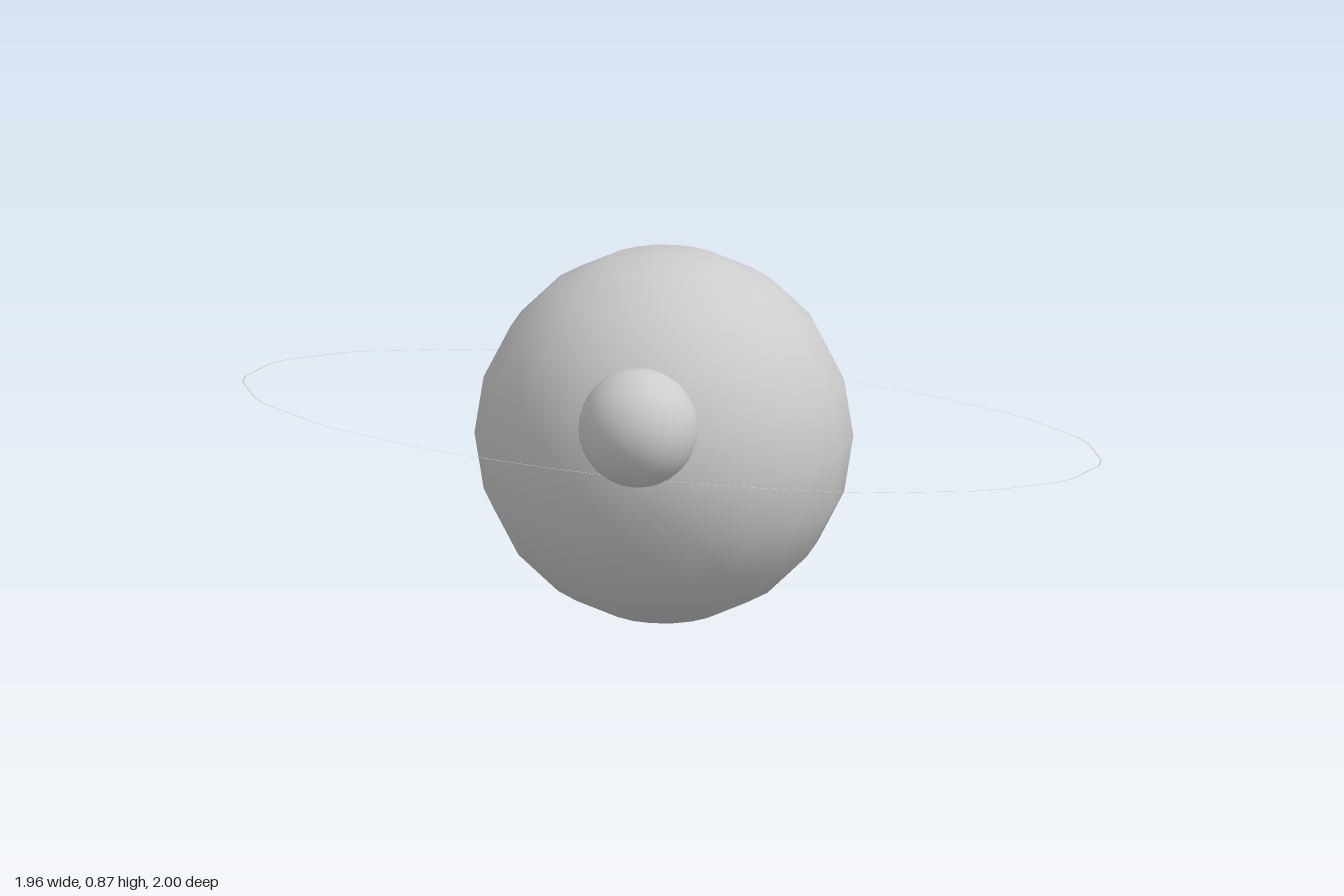
import * as THREE from 'three';

const RING_RADIUS = 0.998, RING_WIDTH = 0.004;

// Closed outline: 18 sides whose corners are slightly cut off
function ringPoints(radius) {
  const points = [];
  for (let i = 0; i < 18; i++) {
    for (const cut of [-2.7, 2.7]) {
      const a = THREE.MathUtils.degToRad(8 + i * 20 + cut);
      points.push(new THREE.Vector2(Math.cos(a) * radius * 0.985, Math.sin(a) * radius));
    }
  }
  return points;
}

// Hair-thin flat band lying in a tilted plane
function orbitGeometry() {
  const shape = new THREE.Shape(ringPoints(RING_RADIUS));
  shape.holes.push(new THREE.Path(ringPoints(RING_RADIUS - RING_WIDTH)));
  const geometry = new THREE.ShapeGeometry(shape);
  geometry.rotateX(-Math.PI / 2);
  const p = geometry.attributes.position;
  for (let i = 0; i < p.count; i++) {
    p.setY(i, 0.464 - 0.1765 * p.getX(i) + 0.035 * p.getZ(i));
  }
  geometry.computeVertexNormals();
  return geometry;
}

export function createModel() {
  const group = new THREE.Group();
  const grey = new THREE.MeshStandardMaterial({ color: 0xcccccc, side: THREE.DoubleSide });
  grey.name = 'light grey';

  function add(name, geometry, x = 0, y = 0, z = 0) {
    const mesh = new THREE.Mesh(geometry, grey);
    mesh.name = name;
    mesh.position.set(x, y, z);
    group.add(mesh);
    return mesh;
  }

  // Large body, with corners facing front and back
  add('planet', new THREE.SphereGeometry(0.437, 18, 10), -0.028, 0.439, 0).rotation.y = Math.PI / 2;

  // Small body resting above the path
  add('moon', new THREE.SphereGeometry(0.138, 24, 16), -0.76, 0.735, 0.573);

  add('orbit', orbitGeometry());
  return group;
}
